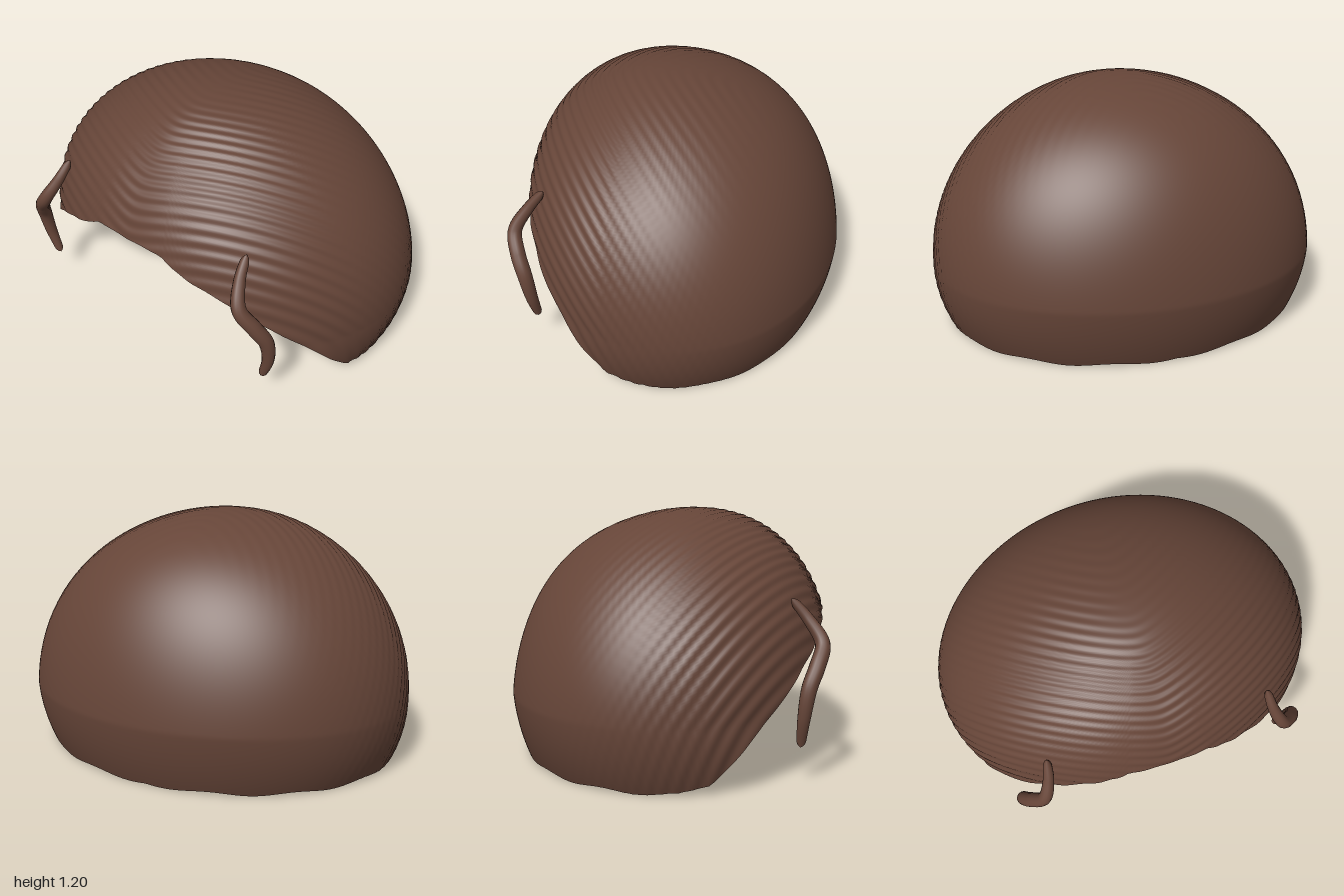
import * as THREE from 'three';

const hairBrown = new THREE.MeshStandardMaterial({ color: 0x664538, side: THREE.DoubleSide });
hairBrown.name = 'hairBrown';

// Hairline height against the angle from the front (radians)
const HAIRLINE = [[0, 0.71], [0.22, 0.70], [0.44, 0.60], [0.66, 0.49], [0.78, 0.42],
  [0.93, 0.30], [1.09, 0.18], [1.28, 0.05], [1.45, 0.008], [3.2, 0.008]];

function hairlineY(angle) {
  const a = Math.abs(angle);
  const k = HAIRLINE.findIndex((p) => p[0] > a);
  const [a0, y0] = HAIRLINE[k - 1], [a1, y1] = HAIRLINE[k];
  const wave = 0.007 * Math.sin(a * 14);
  return y0 + (y1 - y0) * (a - a0) / (a1 - a0) + wave;
}

// Point of the cap: a leaning ellipsoid with fine combed waves
function capPoint(angle, polar) {
  const u = Math.cos(polar), r = Math.sin(polar);
  const y = 0.3 + 0.9 * u;
  const zCentre = 0.02 + 0.075 * Math.abs(u) + 0.04 * Math.abs(u) ** 8;
  const depth = 0.8 + 0.1 * u * u;
  const x = r * Math.sin(angle);
  const zLocal = depth * r * Math.cos(angle);
  const strength = 0.0035 * THREE.MathUtils.smoothstep(zLocal, -0.6, 0.3) * Math.min(1, r * 3);
  const soft = Math.sqrt(x * x + 0.004);
  const ripple = 1 + strength * Math.sin((zLocal + 0.45 * soft - 0.5 * y) * 105);
  const tuck = u < 0 ? 1 - 0.12 * u * u : 1;
  return [x * ripple * tuck * 0.997, 0.3 + (y - 0.3) * (u > 0 ? ripple : 1), zCentre + zLocal * ripple * tuck];
}

function capGeometry(around = 220, down = 150) {
  const positions = [], index = [];
  for (let j = 0; j <= down; j++) {
    for (let i = 0; i < around; i++) {
      const angle = (i / around) * 2 * Math.PI - Math.PI;
      const rim = Math.acos((hairlineY(angle) - 0.3) / 0.9);
      positions.push(...capPoint(angle, Math.max(1e-4, rim * j / down)));
    }
  }
  for (let j = 0; j < down; j++) {
    for (let i = 0; i < around; i++) {
      const n = (i + 1) % around;
      const a = j * around + i, b = a + around, c = j * around + n, d = c + around;
      index.push(a, b, c, c, b, d);
    }
  }
  const geometry = new THREE.BufferGeometry();
  geometry.setAttribute('position', new THREE.Float32BufferAttribute(positions, 3));
  geometry.setIndex(index);
  geometry.computeVertexNormals();
  return geometry;
}

// Loose lock: a tube that swells in the middle and rounds off at both ends
function lockGeometry(side) {
  const path = new THREE.CatmullRomCurve3([
    [0.55, 0.80, 0.605], [0.57, 0.71, 0.68], [0.615, 0.61, 0.74], [0.68, 0.52, 0.715],
    [0.72, 0.43, 0.68], [0.72, 0.30, 0.66], [0.68, 0.155, 0.65],
  ].map(([x, y, z]) => new THREE.Vector3(x * side, y, z)));
  const rings = 64, sides = 14;
  const geometry = new THREE.TubeGeometry(path, rings, 1, sides);
  const position = geometry.attributes.position;
  const point = new THREE.Vector3();
  for (let i = 0; i <= rings; i++) {
    const t = i / rings;
    const centre = path.getPointAt(t);
    const endRound = Math.sqrt(Math.min(1, t / 0.04, (1 - t) / 0.04));
    const radius = (0.019 + 0.017 * Math.sin(Math.PI * t)) * endRound;
    for (let k = 0; k <= sides; k++) {
      const v = i * (sides + 1) + k;
      point.fromBufferAttribute(position, v).sub(centre).multiplyScalar(Math.max(radius, 1e-4)).add(centre);
      position.setXYZ(v, point.x, point.y, point.z);
    }
  }
  return geometry;
}

export function createModel() {
  const group = new THREE.Group();
  group.name = 'hair';
  const add = (name, geometry) => {
    const mesh = new THREE.Mesh(geometry, hairBrown);
    mesh.name = name;
    group.add(mesh);
  };
  add('hairCap', capGeometry());
  add('leftLock', lockGeometry(1));
  add('rightLock', lockGeometry(-1));
  return group;
}
